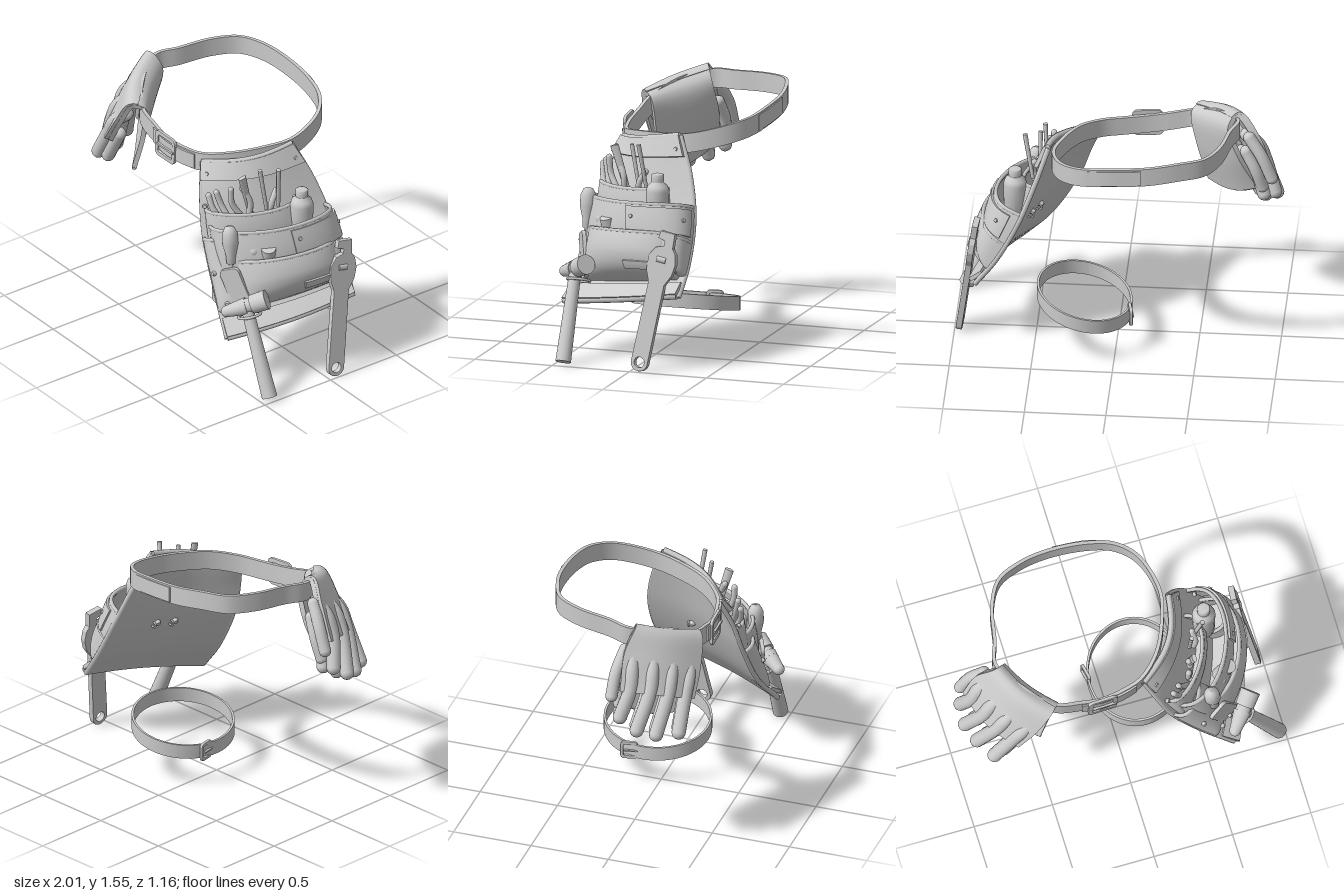
import * as THREE from 'three';
import { mergeGeometries } from 'three/addons/utils/BufferGeometryUtils.js';

const V = (x, y, z) => new THREE.Vector3(x, y, z);
const lerp = THREE.MathUtils.lerp;
const curve = (pts, closed = false) => new THREE.CatmullRomCurve3(pts.map(p => V(...p)), closed);

export function createModel() {
  const model = new THREE.Group();
  const material = new THREE.MeshStandardMaterial({ color: 0xcccccc, roughness: 0.8, side: THREE.DoubleSide });
  const add = (name, geometry, parent = model) => {
    const mesh = new THREE.Mesh(geometry, material);
    mesh.name = name;
    parent.add(mesh);
    return mesh;
  };

  // Surface helpers: a grid over (u, v), and a leather slab with thickness
  const grid = (p, nu, nv, flip) => {
    const pos = [], idx = [];
    for (let j = 0; j <= nv; j++) for (let i = 0; i <= nu; i++) pos.push(...p(i / nu, j / nv).toArray());
    for (let j = 0; j < nv; j++) for (let i = 0; i < nu; i++) {
      const a = j * (nu + 1) + i, b = a + 1, c = a + nu + 1, d = c + 1;
      idx.push(...(flip ? [a, b, c, b, d, c] : [a, c, b, b, c, d]));
    }
    const g = new THREE.BufferGeometry();
    g.setAttribute('position', new THREE.Float32BufferAttribute(pos, 3));
    g.setIndex(idx);
    g.computeVertexNormals();
    return g;
  };
  const normalOf = (f, u, v) => {
    const e = 2e-3, lo = x => Math.max(0, x - e), hi = x => Math.min(1, x + e);
    const du = f(hi(u), v).sub(f(lo(u), v)), dv = f(u, hi(v)).sub(f(u, lo(v)));
    return dv.cross(du).normalize();
  };
  const slab = (f, nu, nv, t) => {
    const at = (u, v, w) => f(u, v).addScaledVector(normalOf(f, u, v), (w - 0.5) * t);
    return mergeGeometries([
      grid((u, v) => at(u, v, 1), nu, nv), grid((u, v) => at(u, v, 0), nu, nv, true),
      grid((u, w) => at(u, 0, w), nu, 1), grid((u, w) => at(u, 1, w), nu, 1, true),
      grid((w, v) => at(0, v, w), 1, nv), grid((w, v) => at(1, v, w), 1, nv, true)]);
  };
  const strap = (name, path, width, t, n) =>
    add(name, slab((u, v) => path.getPointAt(u).add(V(0, (0.5 - v) * width, 0)), n, 2, t));
  const edge = (name, f, r, n = 32) => {
    const pts = Array.from({ length: n + 1 }, (_, i) => f(i / n));
    return add(name, new THREE.TubeGeometry(new THREE.CatmullRomCurve3(pts), n * 2, r, 6));
  };
  // Put a mesh modelled along y between two points
  const between = (mesh, a, b) => {
    mesh.position.copy(a).lerp(b, 0.5);
    mesh.quaternion.setFromUnitVectors(V(0, 1, 0), b.clone().sub(a).normalize());
    return mesh;
  };
  const bar = (name, a, b, r0, r1 = r0, sides = 20) =>
    between(add(name, new THREE.CylinderGeometry(r1, r0, a.distanceTo(b), sides)), a, b);
  const capsule = (name, a, b, r) =>
    between(add(name, new THREE.CapsuleGeometry(r, a.distanceTo(b), 6, 14)), a, b);
  const roundRect = (Type, w, h, r) => {
    const s = new Type(), x = w / 2, y = h / 2;
    s.absarc(x - r, y - r, r, 0, Math.PI / 2);
    s.absarc(r - x, y - r, r, Math.PI / 2, Math.PI);
    s.absarc(r - x, r - y, r, Math.PI, Math.PI * 1.5);
    s.absarc(x - r, r - y, r, Math.PI * 1.5, Math.PI * 2);
    s.closePath();
    return s;
  };

  // Buckle: rounded frame and prong, facing +z
  const bevel = depth => ({ depth, bevelSize: 0.004, bevelThickness: 0.004, bevelSegments: 2, curveSegments: 16 });
  const buckle = (name, w, h) => {
    const g = new THREE.Group();
    g.name = name;
    const frame = roundRect(THREE.Shape, w, h, h * 0.18);
    frame.holes.push(roundRect(THREE.Path, w * 0.76, h * 0.76, h * 0.1));
    add('buckleFrame', new THREE.ExtrudeGeometry(frame, bevel(0.012)), g);
    add('buckleProng', new THREE.BoxGeometry(w * 0.85, h * 0.08, 0.015), g).position.set(0.01, 0, 0.018);
    model.add(g);
    return g;
  };

  // Waist belt
  const waist = curve([[-0.28, 1.285, 0.38], [-0.15, 1.258, 0.385], [0.0, 1.25, 0.36], [0.12, 1.255, 0.32], [0.25, 1.28, 0.2],
    [0.34, 1.3, 0.02], [0.385, 1.32, -0.17], [0.32, 1.375, -0.4], [0.2, 1.41, -0.51], [0.03, 1.44, -0.555], [-0.22, 1.465, -0.565],
    [-0.41, 1.485, -0.53], [-0.56, 1.485, -0.46], [-0.645, 1.48, -0.31], [-0.69, 1.47, -0.1], [-0.73, 1.46, 0.05],
    [-0.6, 1.42, 0.24], [-0.45, 1.335, 0.36]], true);
  strap('waistBelt', waist, 0.12, 0.022, 140);
  strap('beltOverlap', curve([[0.15, 1.42, -0.535], [0.03, 1.44, -0.565], [-0.18, 1.46, -0.577]]), 0.1, 0.02, 16);
  strap('beltTail', curve([[-0.28, 1.282, 0.393], [-0.15, 1.257, 0.4], [0, 1.25, 0.377], [0.08, 1.25, 0.353]]), 0.1, 0.016, 16);
  const mainBuckle = buckle('waistBuckle', 0.18, 0.17);
  mainBuckle.position.set(-0.15, 1.257, 0.395);
  mainBuckle.rotation.set(0, 0.05, -0.05);

  // Leg strap
  const ring = Array.from({ length: 16 }, (_, i) => {
    const a = i / 16 * Math.PI * 2, x = 0.2 + 0.285 * Math.sin(a);
    return [x, 0.225 + (x + 0.09) * 0.215, -0.09 + 0.33 * Math.cos(a)];
  });
  strap('legStrap', curve(ring, true), 0.09, 0.014, 64);
  const legBuckle = buckle('legBuckle', 0.1, 0.11);
  legBuckle.position.set(-0.08, 0.23, -0.18);
  legBuckle.rotation.y = -Math.PI / 2 + 0.2;

  // Backing panel: spanned between its front and back edges, bowed outward
  const front = curve([[0.13, 1.26, 0.33], [0.2, 1.08, 0.39], [0.28, 0.85, 0.43], [0.45, 0.55, 0.47], [0.65, 0.32, 0.53]]);
  const back = curve([[0.42, 1.37, -0.13], [0.5, 1.15, -0.22], [0.6, 0.9, -0.28], [0.73, 0.65, -0.29], [0.86, 0.46, -0.27]]);
  const panel = (u, v) => front.getPoint(v).lerp(back.getPoint(v), u)
    .addScaledVector(V(0.07, 0, 0.03), Math.sin(Math.PI * u) * (1 - 0.5 * v));
  const above = (u, v, d) => panel(u, v).addScaledVector(normalOf(panel, u, v), d);
  add('backPanel', slab(panel, 24, 32, 0.028));
  add('topCollar', slab((u, v) => above(u, v * 0.14, 0.02 + 0.015 * v), 24, 6, 0.025));
  add('bottomLip', slab((u, v) => above(u, 0.9 + v * 0.1, 0.015 + 0.025 * v), 24, 6, 0.025));
  edge('topEdge', s => above(s, 0, 0.008), 0.02);
  edge('bottomEdge', s => above(s, 1, 0.025), 0.02);
  edge('frontEdge', s => above(0, s, 0), 0.016);
  edge('rearEdge', s => above(1, s, 0), 0.016);

  // Pockets: bulging leather fastened to the panel, open on top
  const pocket = (name, u0, u1, v0, v1, depth, sag = 0) => {
    const f = (s, t) => {
      const a = Math.PI * s, b = t * Math.PI / 2;
      const d = depth * Math.pow(Math.max(0, Math.sin(a)), 0.65) * Math.pow(Math.max(0, Math.cos(b)), 0.6);
      const top = v0 + sag * Math.sin(a);
      return above(lerp(u0, u1, 0.5 - 0.5 * Math.cos(a)), lerp(top, v1, Math.sin(b)), d + 0.012);
    };
    add(name, slab(f, 36, 18, 0.018));
    edge(name + 'Rim', s => f(s, 0), 0.013);
    return f;
  };
  pocket('upperPocket', 0.04, 0.78, 0.34, 0.56, 0.12, 0.02);
  const middle = pocket('middlePocket', 0.06, 1, 0.44, 0.74, 0.235, 0.02);
  const lower = pocket('lowerPocket', 0.15, 0.95, 0.615, 0.865, 0.245, 0.025);
  const holster = pocket('sideHolster', 0, 0.3, 0.52, 0.86, 0.11);
  pocket('wrenchHolster', 0.7, 1, 0.64, 0.84, 0.17);

  // Leather bands lying on the pockets
  const band = (name, f, s0, s1, t0, t1) => add(name, slab((u, v) => {
    const s = lerp(s0, s1, u), t = lerp(t0, t1, v);
    return f(s, t).addScaledVector(normalOf(f, s, t), 0.014);
  }, 20, 6, 0.016));
  band('pocketBand', middle, 0.55, 0.97, 0.05, 0.4);
  band('wrenchBand', lower, 0.55, 0.95, 0.55, 0.72);

  // Rivets on the leather
  const rivet = (p, n) => bar('rivet', p, p.clone().addScaledVector(n, 0.02), 0.016, 0.011, 12);
  for (const [u, v] of [[0.06, 0.09], [0.94, 0.09], [0.97, 0.5], [0.03, 0.32]])
    rivet(above(u, v, 0.03), normalOf(panel, u, v));
  for (const [f, s, t] of [[middle, 0.58, 0.2], [middle, 0.9, 0.2], [lower, 0.1, 0.2], [holster, 0.2, 0.3], [holster, 0.3, 0.75]])
    rivet(f(s, t).addScaledVector(normalOf(f, s, t), 0.01), normalOf(f, s, t));

  // Fasteners on the inner face of the panel
  for (const u of [0.45, 0.6]) {
    bar('backFastener', above(u, 0.55, -0.01), above(u, 0.55, -0.035), 0.022, 0.014, 12);
    const loop = add('backLoop', new THREE.TorusGeometry(0.018, 0.006, 6, 14));
    loop.position.copy(above(u + 0.03, 0.56, -0.022));
  }

  // Hand tools in the upper pocket
  const handles = [
    [[0.41, 0.98, 0.33], [0.36, 1.08, 0.36], [0.34, 1.16, 0.38]], [[0.38, 0.96, 0.36], [0.33, 1.05, 0.4], [0.3, 1.13, 0.41]],
    [[0.45, 0.99, 0.26], [0.42, 1.1, 0.32], [0.42, 1.2, 0.33]], [[0.46, 1.0, 0.22], [0.47, 1.1, 0.22], [0.44, 1.2, 0.26]],
    [[0.52, 1.0, 0.1], [0.53, 1.08, 0.1], [0.52, 1.15, 0.06]]];
  for (const pts of handles) {
    add('pliersHandle', new THREE.TubeGeometry(curve(pts), 16, 0.019, 10));
    add('pliersHandleTip', new THREE.SphereGeometry(0.019, 10, 8)).position.set(...pts[2]);
  }
  bar('chisel', V(0.45, 1.0, 0.2), V(0.47, 1.29, 0.28), 0.02, 0.028, 8).scale.x = 0.5;
  bar('punch', V(0.49, 1.02, 0.11), V(0.49, 1.31, 0.16), 0.012, 0.014, 8);
  bar('file', V(0.53, 1.04, 0.05), V(0.58, 1.33, 0.085), 0.012, 0.015, 8);

  // Screwdriver in the side holster
  const driver = [[0.001, -0.3], [0.014, -0.3], [0.014, -0.12], [0.03, -0.11], [0.032, -0.06], [0.05, 0.02], [0.048, 0.09], [0.03, 0.13], [0.001, 0.14]];
  const screwdriver = add('screwdriver', new THREE.LatheGeometry(driver.map(p => new THREE.Vector2(...p)), 20));
  screwdriver.position.set(0.545, 0.89, 0.425);
  screwdriver.rotation.z = 0.08;

  // Bottle in the middle pocket and round tools in the lower one
  const flask = [[0.001, -0.22], [0.068, -0.22], [0.072, 0.02], [0.062, 0.05], [0.036, 0.075], [0.04, 0.08], [0.04, 0.12], [0.03, 0.125], [0.001, 0.125]];
  add('bottle', new THREE.LatheGeometry(flask.map(p => new THREE.Vector2(...p)), 24)).position.set(0.63, 1.045, -0.055);
  bar('roundTool', V(0.65, 0.68, 0.21), V(0.7, 0.89, 0.25), 0.045);
  capsule('roundToolKnob', V(0.61, 0.74, 0.3), V(0.63, 0.86, 0.31), 0.035);

  // Hammer with its holder
  const face = V(0.81, 0.61, 0.345), eye = V(0.73, 0.56, 0.44), peen = V(0.655, 0.52, 0.535);
  const cheek = face.clone().lerp(eye, 0.75);
  bar('hammerFace', face, cheek, 0.062, 0.058, 28);
  bar('hammerNeck', cheek, eye.clone().lerp(peen, 0.3), 0.045, 0.05);
  bar('hammerPeen', eye, peen, 0.055, 0.036, 20);
  add('hammerPeenTip', new THREE.SphereGeometry(0.036, 16, 10)).position.copy(peen);
  bar('hammerHandle', V(0.965, 0.025, 0.44), V(0.72, 0.58, 0.44), 0.048, 0.036, 24);
  const holder = add('hammerLoop', new THREE.TorusGeometry(0.07, 0.009, 8, 28));
  holder.position.set(0.735, 0.49, 0.42);
  holder.rotation.set(Math.PI / 2, 0.35, 0);
  const holderPlate = add('hammerPlate', new THREE.ExtrudeGeometry(roundRect(THREE.Shape, 0.13, 0.28, 0.03), bevel(0.018)));
  holderPlate.position.set(0.61, 0.62, 0.42);
  holderPlate.rotation.set(0, 0.5, 0.42);
  rivet(V(0.65, 0.51, 0.42), V(0.45, 0, 0.88));

  // Adjustable wrench: flat profile with jaws and a hanging hole
  const wrench = new THREE.Group();
  wrench.name = 'wrench';
  const body = new THREE.Shape();
  body.absarc(0, 0, 0.052, Math.PI, Math.PI * 2);
  [[0.05, 0.5], [0.085, 0.57], [0.095, 0.64], [0.08, 0.7], [0.055, 0.73], [0.05, 0.82], [-0.04, 0.82], [-0.045, 0.78], [0.0, 0.77], [0.0, 0.735],
    [-0.05, 0.715], [-0.085, 0.66], [-0.08, 0.57], [-0.05, 0.5]].forEach(p => body.lineTo(...p));
  body.closePath();
  const hole = new THREE.Path();
  hole.absarc(0, 0, 0.036, 0, Math.PI * 2);
  body.holes.push(hole);
  add('wrenchBody', new THREE.ExtrudeGeometry(body, bevel(0.03)), wrench);
  const worm = add('wrenchWorm', new THREE.CylinderGeometry(0.022, 0.022, 0.06, 16), wrench);
  worm.position.set(0.0, 0.65, 0.022);
  worm.rotation.z = Math.PI / 2;
  const along = V(0.85, 0.84, -0.2).sub(V(0.955, 0.06, -0.06)).normalize();
  const across = along.clone().cross(V(1, 0, 0.1)).normalize();
  wrench.quaternion.setFromRotationMatrix(new THREE.Matrix4().makeBasis(across, along, across.clone().cross(along)));
  wrench.position.set(0.95, 0.06, -0.06);
  model.add(wrench);

  // Gloves folded over the belt: outer hand, ridge and inner cuff
  const rearFold = curve([[-0.91, 1.17, 0.04], [-0.83, 1.4, 0.04], [-0.73, 1.525, 0.08], [-0.68, 1.46, 0.05], [-0.74, 1.27, 0.03], [-0.85, 1.04, 0.07]]);
  const frontFold = curve([[-0.68, 1.06, 0.43], [-0.57, 1.24, 0.435], [-0.475, 1.39, 0.41], [-0.43, 1.37, 0.36], [-0.46, 1.18, 0.34], [-0.53, 0.91, 0.36]]);
  const fold = lift => (u, v) => rearFold.getPoint(1 - v).lerp(frontFold.getPoint(1 - v), u)
    .addScaledVector(V(-0.035, 0.02, 0.03), Math.sin(Math.PI * u) * v + lift * v)
    .add(V(0, -0.05 * Math.sin(Math.PI * u) * (1 - v) ** 2, 0));
  const cuff = fold(0), overlay = fold(0.3);
  add('gloveCuffs', slab(cuff, 20, 40, 0.03));
  add('outerGlove', slab((u, v) => overlay(u, 0.5 + 0.5 * v), 20, 20, 0.045));
  edge('gloveHem', s => cuff(s, 0), 0.015);

  // Fingers in two layers, running down from the back of the hand, and the thumbs
  const tips = [[-0.955, 1.01, 0.06], [-0.96, 0.94, 0.17], [-0.915, 0.905, 0.28], [-0.84, 0.9, 0.4]];
  const finger = (name, pts, r) => {
    const path = new THREE.CatmullRomCurve3(pts);
    add(name, new THREE.TubeGeometry(path, 20, r, 14));
    for (const end of [pts[0], pts[pts.length - 1]])
      add(name + 'Tip', new THREE.SphereGeometry(r, 14, 10)).position.copy(end);
  };
  tips.forEach((tip, i) => {
    const u = (i + 0.5) / 4, end = V(...tip), inset = V(0.065, -0.005, -0.025);
    const sunk = overlay(u, 0.78).add(V(0.025, -0.01, -0.025));
    const path = [sunk, overlay(u, 0.88), overlay(u, 0.98), end];
    finger('finger', path, 0.044);
    finger('lowerFinger', path.slice(2).map(p => p.clone().add(inset)), 0.042);
  });
  finger('thumb', [V(-0.8, 1.4, 0.04), V(-0.88, 1.28, 0.01), V(-0.94, 1.14, 0.0)], 0.038);
  finger('lowerThumb', [V(-0.78, 1.3, 0.04), V(-0.84, 1.18, 0.02), V(-0.88, 1.06, 0.03)], 0.038);
  return model;
}
